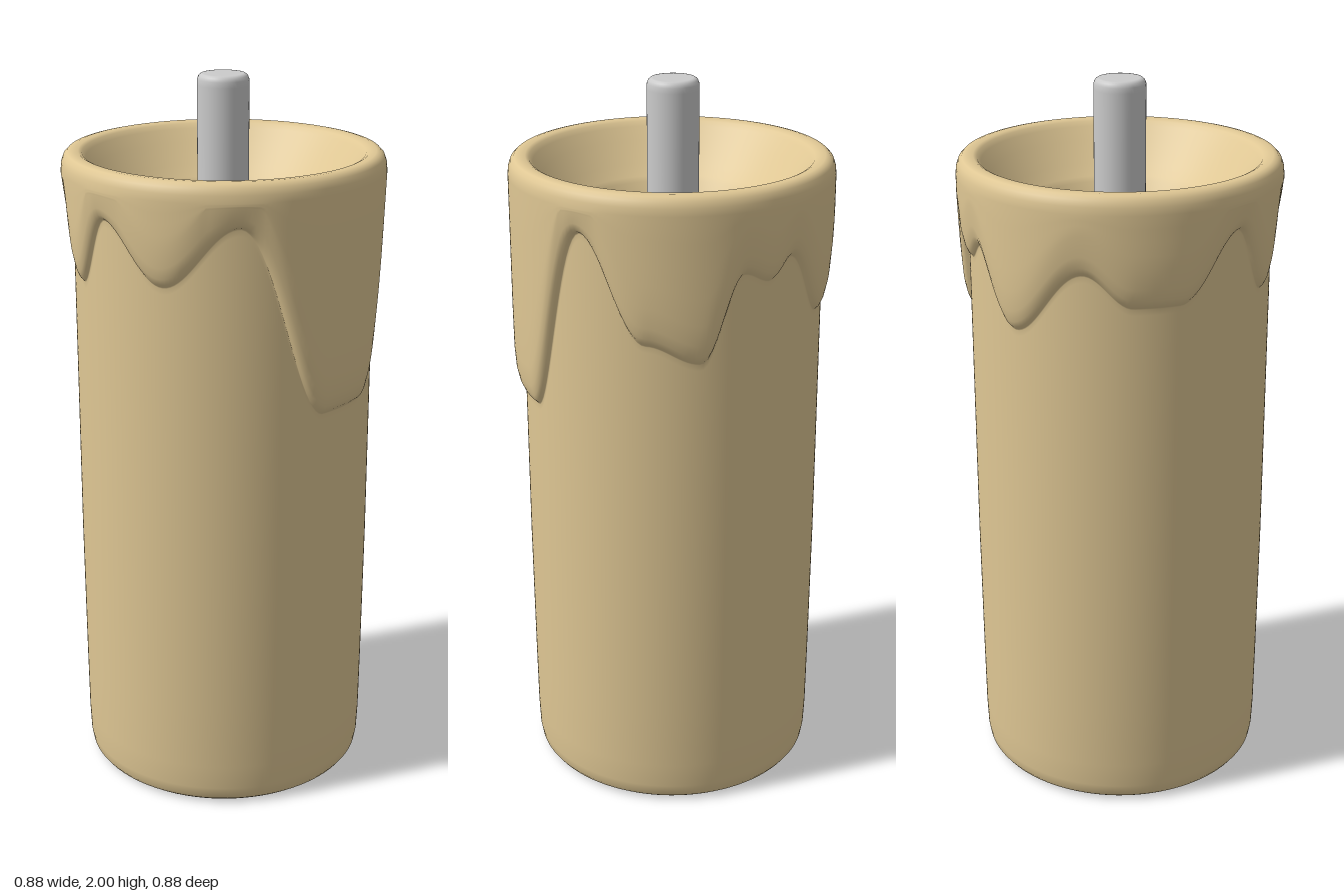
import * as THREE from 'three';

// Lower edge of the melted wax: [angle in degrees from +z towards +x, height]
const dripEdge = [
  [-5, 1.67], [21, 1.52], [49, 1.68], [83, 1.155], [104, 1.155], [131, 1.68],
  [156, 1.4], [176, 1.35], [192, 1.58], [203, 1.55], [213, 1.6], [234, 1.41],
  [262, 1.585], [280, 1.5], [297, 1.5], [322, 1.67], [339, 1.48], [355, 1.67],
];

function dripHeight(deg) {
  const a = deg > 355 ? deg - 360 : deg;
  const i = Math.max(1, dripEdge.findIndex((k) => k[0] >= a));
  const [a0, h0] = dripEdge[i - 1];
  const [a1, h1] = dripEdge[i];
  const t = (1 - Math.cos(Math.PI * (a - a0) / (a1 - a0))) / 2;
  return h0 + (h1 - h0) * t;
}

// Wax cross-section at one angle, as [radius, height] from foot to bowl centre
function waxProfile(deg) {
  const d = dripHeight(deg);
  const h = Math.min(0.11, (1.745 - d) * 0.9);
  const points = [
    [0.388, 0.01], [0.397, 0.022], [0.402, 0.05], [0.405, 0.12], [0.407, 0.3], [0.41, 0.7], [0.41, 1.0],
    [0.41, d - 0.02], [0.41, d - 0.004], [0.412, d],              // body up to the drips
    [0.421, d + h * 0.08], [0.428, d + h * 0.22], [0.435, d + h * 0.5], [0.439, d + h], // rounded drip lip
  ];
  for (let i = 1; i <= 4; i++) points.push([0.44, d + h + (1.75 - d - h) * i / 4]);
  points.push(
    [0.438, 1.77], [0.432, 1.787], [0.422, 1.797], [0.41, 1.8],  // rim
    [0.392, 1.799], [0.382, 1.794], [0.372, 1.782], [0.345, 1.748], [0.3, 1.692],
    [0.27, 1.663], [0.258, 1.65], [0.247, 1.628], [0.228, 1.602], [0.2, 1.582],
    [0.16, 1.569], [0.1, 1.56], [0, 1.558],                      // bowl
  );
  return points;
}

function waxGeometry(columns = 240) {
  const positions = [];
  const index = [];
  let rows = 0;
  for (let c = 0; c < columns; c++) {
    const deg = 360 * c / columns;
    const a = THREE.MathUtils.degToRad(deg);
    const profile = waxProfile(deg);
    rows = profile.length;
    for (const [r, y] of profile) positions.push(r * Math.sin(a), y, r * Math.cos(a));
  }
  for (let c = 0; c < columns; c++) {
    const p = c * rows;
    const q = ((c + 1) % columns) * rows;
    for (let r = 0; r < rows - 1; r++) {
      index.push(p + r, q + r, q + r + 1);
      if (r < rows - 2) index.push(p + r, q + r + 1, p + r + 1);
    }
  }
  const geometry = new THREE.BufferGeometry();
  geometry.setAttribute('position', new THREE.Float32BufferAttribute(positions, 3));
  geometry.setIndex(index);
  geometry.computeVertexNormals();
  return geometry;
}

export function createModel() {
  const group = new THREE.Group();
  group.name = 'candle';
  const wax = new THREE.MeshStandardMaterial({ color: 0xdfc794 });
  const grey = new THREE.MeshStandardMaterial({ color: 0xcccccc });

  // Wax body with drips, rim and hollow
  const body = new THREE.Mesh(waxGeometry(), wax);
  body.name = 'waxBody';
  group.add(body);

  // Flat foot with a small bevel
  const foot = new THREE.Mesh(new THREE.CylinderGeometry(0.388, 0.375, 0.01, 96), wax);
  foot.name = 'foot';
  foot.position.y = 0.005;
  group.add(foot);

  // Wick with a softened top edge
  const wickProfile = [
    [0.07, 1.54], [0.07, 1.75], [0.07, 1.97], [0.0695, 1.985], [0.066, 1.994],
    [0.06, 1.999], [0.053, 2], [0, 2],
  ].map(([r, y]) => new THREE.Vector2(r, y));
  const wick = new THREE.Mesh(new THREE.LatheGeometry(wickProfile, 48), grey);
  wick.name = 'wick';
  wick.position.x = -0.003;
  group.add(wick);

  return group;
}
